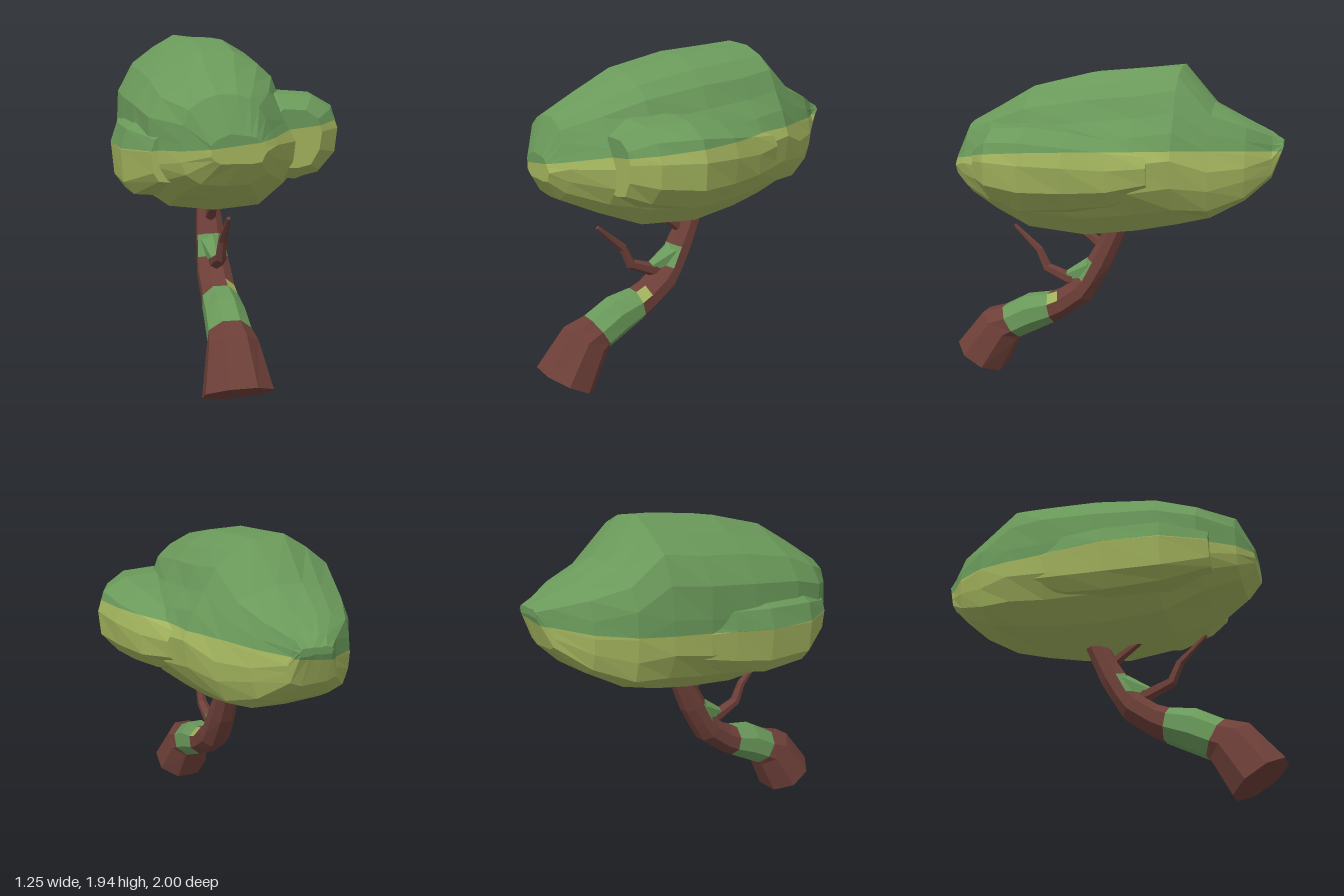
import * as THREE from 'three';

const flat = (name, color) => {
  const m = new THREE.MeshStandardMaterial({ color, flatShading: true });
  m.name = name;
  return m;
};

// Small seeded noise for hand-cut facets
let seed = 7;
const jitter = (a) => {
  seed = (seed * 16807) % 2147483647;
  return (seed / 2147483647 - 0.5) * 2 * a;
};

// Joins rings of points (counter-clockwise about the path) into triangles tagged with ring and side
function loft(rings) {
  const tris = [];
  const n = rings[0].length;
  for (let i = 0; i < rings.length - 1; i++) {
    for (let j = 0; j < n; j++) {
      const k = (j + 1) % n;
      const a = rings[i][j], b = rings[i][k], c = rings[i + 1][k], d = rings[i + 1][j];
      tris.push({ p: [a, b, c], i, j }, { p: [a, c, d], i, j });
    }
  }
  const first = rings[0], last = rings[rings.length - 1];
  for (let j = 1; j < n - 1; j++) {
    tris.push({ p: [first[0], first[j + 1], first[j]], i: -1, j });
    tris.push({ p: [last[0], last[j], last[j + 1]], i: rings.length, j });
  }
  return tris;
}

function makeMesh(name, tris, material) {
  const geo = new THREE.BufferGeometry().setFromPoints(tris.flatMap((t) => t.p));
  geo.computeVertexNormals();
  const mesh = new THREE.Mesh(geo, material);
  mesh.name = name;
  return mesh;
}

// Keeps the part of each triangle on one side of the tilted foliage colour line
const height = (p) => p.y - 1.41 - 0.125 * p.x + 0.045 * p.z;
function clip(tris, sign) {
  const out = [];
  for (const { p } of tris) {
    const poly = [];
    for (let i = 0; i < 3; i++) {
      const a = p[i], b = p[(i + 1) % 3];
      const ha = height(a) * sign, hb = height(b) * sign;
      if (ha >= 0) poly.push(a);
      if (ha >= 0 !== hb >= 0) poly.push(a.clone().lerp(b, ha / (ha - hb)));
    }
    for (let i = 1; i < poly.length - 1; i++) out.push({ p: [poly[0], poly[i], poly[i + 1]] });
  }
  return out;
}

// Woody ring from a front edge point, a back edge point and a half width
function woodRing([zF, yF, zB, yB, rx], sides) {
  const off = Math.PI / sides, grow = 1 / Math.cos(off);
  return Array.from({ length: sides }, (_, j) => {
    const a = off + (j * 2 * Math.PI) / sides;
    const s = (Math.sin(a) * grow) / 2;
    return new THREE.Vector3(
      -0.045 + Math.cos(a) * rx * grow,
      (yF + yB) / 2 + s * (yB - yF),
      (zF + zB) / 2 + s * (zB - zF));
  });
}

// Thin branch along [z, y, radius] points
function branch(path) {
  return loft(path.map(([z, y, r], i) => {
    const a = path[Math.max(i - 1, 0)], b = path[Math.min(i + 1, path.length - 1)];
    const len = Math.hypot(b[0] - a[0], b[1] - a[1]);
    const tz = ((b[0] - a[0]) / len) * r, ty = ((b[1] - a[1]) / len) * r;
    return woodRing([z + ty, y - tz, z - ty, y + tz, r], 6);
  }));
}

// Foliage mass: one outline fitted to sections [z, left x, right x, top y, bottom y, boxiness]
function mass(outline, sections) {
  return loft(sections.map(([z, x0, x1, top, low, box = 0]) => outline.map(([u, v]) => {
    const du = u - 0.5, dv = v - 0.5;
    const f = 1 + box * (0.5 / Math.max(Math.abs(du), Math.abs(dv)) - 1);
    return new THREE.Vector3(
      x0 + (x1 - x0) * (0.5 + du * f) + jitter(0.008),
      low + (top - low) * (0.5 + dv * f) + jitter(0.006), z);
  })));
}

export function createModel() {
  const bark = flat('bark brown', 0x6d3f38);
  const green = flat('leaf green', 0x6a995a);
  const lime = flat('lime green', 0xa0b15c);
  const tree = new THREE.Group();
  tree.name = 'leaningTree';

  // Leaning trunk with mossy faces
  const trunk = loft([
    [1.0, 0.17, 0.72, 0.0, 0.175], [0.83, 0.38, 0.61, 0.21, 0.13], [0.7, 0.42, 0.59, 0.23, 0.115],
    [0.55, 0.5, 0.49, 0.28, 0.108], [0.4, 0.525, 0.36, 0.345, 0.1], [0.335, 0.55, 0.28, 0.39, 0.095],
    [0.25, 0.61, 0.13, 0.5, 0.095], [0.2, 0.65, 0.07, 0.6, 0.088], [0.14, 0.77, 0.0, 0.72, 0.08],
    [0.08, 0.87, -0.05, 0.84, 0.072], [0.0, 1.04, -0.12, 1.01, 0.06],
  ].map((s) => woodRing(s, 8)));
  const paint = ({ i, j }) => {
    if (i === 4 && j === 6) return lime;
    if (i === 2 || i === 3) return green;
    if (i === 7 && j >= 4 && j <= 6) return green;
    return bark;
  };
  for (const [name, mat] of [['trunk', bark], ['trunkMoss', green], ['trunkLichen', lime]]) {
    tree.add(makeMesh(name, trunk.filter((t) => paint(t) === mat), mat));
  }

  // Branches, the long one with a mossy collar
  tree.add(makeMesh('branchMoss', branch([[0.12, 0.7, 0.065], [0.27, 0.645, 0.03]]), green));
  tree.add(makeMesh('longBranch', branch([
    [0.15, 0.62, 0.04], [0.27, 0.63, 0.035], [0.41, 0.69, 0.028], [0.46, 0.8, 0.022], [0.62, 0.95, 0.01],
  ]), bark));
  tree.add(makeMesh('shortBranch', branch([
    [0.03, 0.83, 0.035], [0.12, 0.9, 0.025], [0.24, 0.98, 0.018],
  ]), bark));

  // Outlines run clockwise from the front, as fractions of each section's width and height
  const domeOutline = [
    [0.38, 1], [0.57, 0.99], [0.7, 0.92], [0.79, 0.83], [0.84, 0.71], [0.92, 0.6], [1, 0.45], [0.98, 0.29],
    [0.87, 0.15], [0.72, 0.02], [0.47, 0], [0.21, 0.03], [0.07, 0.14], [0, 0.27], [0, 0.47], [0.02, 0.66],
    [0.11, 0.81], [0.25, 0.92],
  ];
  const lobeOutline = [
    [0.3, 1], [0.7, 0.98], [0.93, 0.82], [1, 0.6], [0.97, 0.3], [0.8, 0.08], [0.55, 0],
    [0.15, 0.02], [0.03, 0.2], [0, 0.6], [0.07, 0.85],
  ];
  const foliage = {
    crown: mass(domeOutline, [
      [0.95, -0.2, 0.07, 1.41, 1.27, 0.3], [0.87, -0.33, 0.14, 1.6, 1.16, 0.25], [0.68, -0.47, 0.3, 1.7, 1.07, 0.1],
      [0.45, -0.53, 0.42, 1.82, 0.97], [0.1, -0.57, 0.45, 1.89, 0.94], [-0.2, -0.57, 0.43, 1.92, 0.97],
      [-0.42, -0.54, 0.37, 1.93, 1.01, 0.1], [-0.61, -0.5, 0.27, 1.72, 1.06, 0.35],
      [-0.8, -0.39, 0.15, 1.62, 1.17, 0.55], [-0.94, -0.24, 0.02, 1.55, 1.3, 0.6],
      [-1.0, -0.18, 0.0, 1.51, 1.47, 0.4],
    ]),
    rightHandLobe: mass(lobeOutline, [
      [0.74, -0.46, -0.15, 1.42, 1.16], [0.5, -0.6, -0.1, 1.48, 1.06], [0.18, -0.63, -0.1, 1.5, 1.05],
      [-0.05, -0.6, -0.1, 1.5, 1.09], [-0.3, -0.55, -0.1, 1.46, 1.16], [-0.5, -0.48, -0.15, 1.42, 1.22],
    ]),
    leftHandLobe: mass(lobeOutline, [
      [0.68, 0.15, 0.43, 1.52, 1.21], [0.57, 0.06, 0.55, 1.59, 1.15], [0.35, 0.04, 0.63, 1.61, 1.11],
      [0.12, 0.04, 0.59, 1.58, 1.12], [-0.1, 0.04, 0.51, 1.53, 1.15], [-0.3, 0.04, 0.41, 1.49, 1.22],
    ]),
  };
  for (const [name, tris] of Object.entries(foliage)) {
    tree.add(makeMesh(name + 'Top', clip(tris, 1), green));
    tree.add(makeMesh(name + 'Underside', clip(tris, -1), lime));
  }
  return tree;
}
